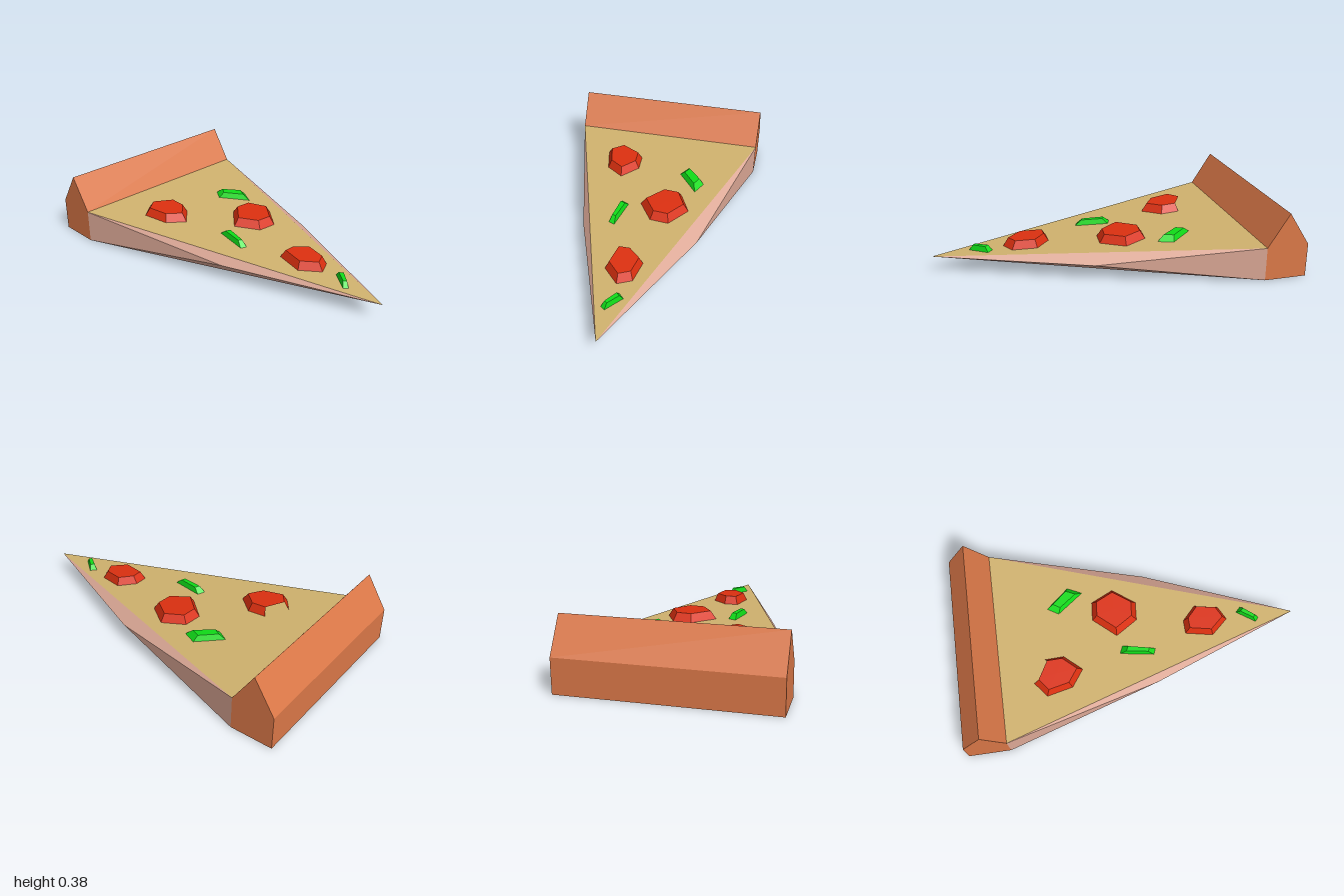
import * as THREE from 'three';

const makeMaterial = (name, color) => {
  const m = new THREE.MeshStandardMaterial({ color });
  m.name = name;
  return m;
};

// Flat-faced geometry from a list of triangles of [x, y, z] corners
function facets(triangles) {
  const g = new THREE.BufferGeometry();
  g.setAttribute('position', new THREE.Float32BufferAttribute(triangles.flat(2), 3));
  g.computeVertexNormals();
  return g;
}

// Height of the sloping cheese surface
const cheeseY = (x) => 0.19 - 0.0546 * (x + 0.76);

// Tapered topping lying on the cheese; outline of [x, z] runs clockwise from above
function topping(outline, height, taper, openSide = -1) {
  const n = outline.length;
  const cx = outline.reduce((s, p) => s + p[0], 0) / n;
  const cz = outline.reduce((s, p) => s + p[1], 0) / n;
  const low = outline.map(([x, z]) => [x, cheeseY(x) - 0.003, z]);
  const high = outline.map(([px, pz]) => {
    const x = cx + (px - cx) * taper;
    return [x, cheeseY(x) + height, cz + (pz - cz) * taper];
  });
  const centre = [cx, cheeseY(cx) + height, cz];
  const tris = [];
  for (let i = 0; i < n; i++) {
    const j = (i + 1) % n;
    tris.push([centre, high[j], high[i]]);
    if (i !== openSide) tris.push([low[i], high[i], low[j]], [low[j], high[i], high[j]]);
  }
  return facets(tris);
}

export function createModel() {
  const model = new THREE.Group();
  model.name = 'pizzaSlice';
  const crustMat = makeMaterial('crust orange', 0xdb7848);
  const cheeseMat = makeMaterial('cheese tan', 0xd0b26e);
  const doughMat = makeMaterial('dough pink', 0xdca896);
  const redMat = makeMaterial('pepperoni red', 0xdc3010);
  const greenMat = makeMaterial('pepper green', 0x10dc18);

  const add = (name, geometry, material) => {
    const mesh = new THREE.Mesh(geometry, material);
    mesh.name = name;
    model.add(mesh);
  };

  // Crust: a house-shaped bar across the wide end
  const profile = new THREE.Shape([
    [-1, 0], [-0.76, 0], [-0.76, 0.19], [-0.88, 0.378], [-1, 0.19],
  ].map(([x, y]) => new THREE.Vector2(x, y)));
  const crust = new THREE.ExtrudeGeometry(profile, { depth: 1.14, bevelEnabled: false });
  crust.translate(0, 0, -0.57);
  add('crust', crust, crustMat);

  // Slice body corners
  const tip = [0.985, 0.095, 0];
  const topF = [-0.76, 0.19, 0.57], topB = [-0.76, 0.19, -0.57];
  const lowF = [-0.76, 0, 0.57], lowB = [-0.76, 0, -0.57];
  const midF = [0.13, 0.095, 0.318], midB = [0.14, 0.095, -0.35];

  add('cheese', facets([[topF, tip, topB]]), cheeseMat);
  add('base', facets([[lowF, lowB, tip]]), cheeseMat);

  // Dough sides bulge outward at mid height
  const side = (top, low, mid) => [[low, mid, top], [top, mid, tip], [low, tip, mid]];
  add('frontDoughSide', facets(side(topF, lowF, midF)), doughMat);
  add('backDoughSide', facets(side(topB, lowB, midB).map((t) => t.reverse())), doughMat);

  // Pepperoni: the last one has one open side
  [
    { outline: [[-0.06, -0.265], [0.07, -0.17], [0.06, -0.06], [-0.07, 0.025], [-0.2, -0.09], [-0.19, -0.2]] },
    { outline: [[0.41, -0.105], [0.55, -0.08], [0.59, 0], [0.49, 0.09], [0.33, 0.06], [0.33, -0.02]] },
    { outline: [[-0.39, 0.11], [-0.29, 0.2], [-0.36, 0.3], [-0.51, 0.335], [-0.575, 0.25], [-0.5, 0.115]], open: 4 },
  ].forEach(({ outline, open }, i) =>
    add(`pepperoni${i + 1}`, topping(outline, 0.046, 0.77, open), redMat));

  // Green pepper pieces
  [
    [[-0.455, -0.19], [-0.32, -0.31], [-0.235, -0.27], [-0.39, -0.15]],
    [[-0.05, 0.09], [0.145, 0.13], [0.13, 0.165], [-0.07, 0.135]],
    [[0.68, -0.065], [0.78, 0.015], [0.76, 0.04], [0.65, -0.035]],
  ].forEach((outline, i) => add(`greenPepper${i + 1}`, topping(outline, 0.031, 0.62), greenMat));

  return model;
}
